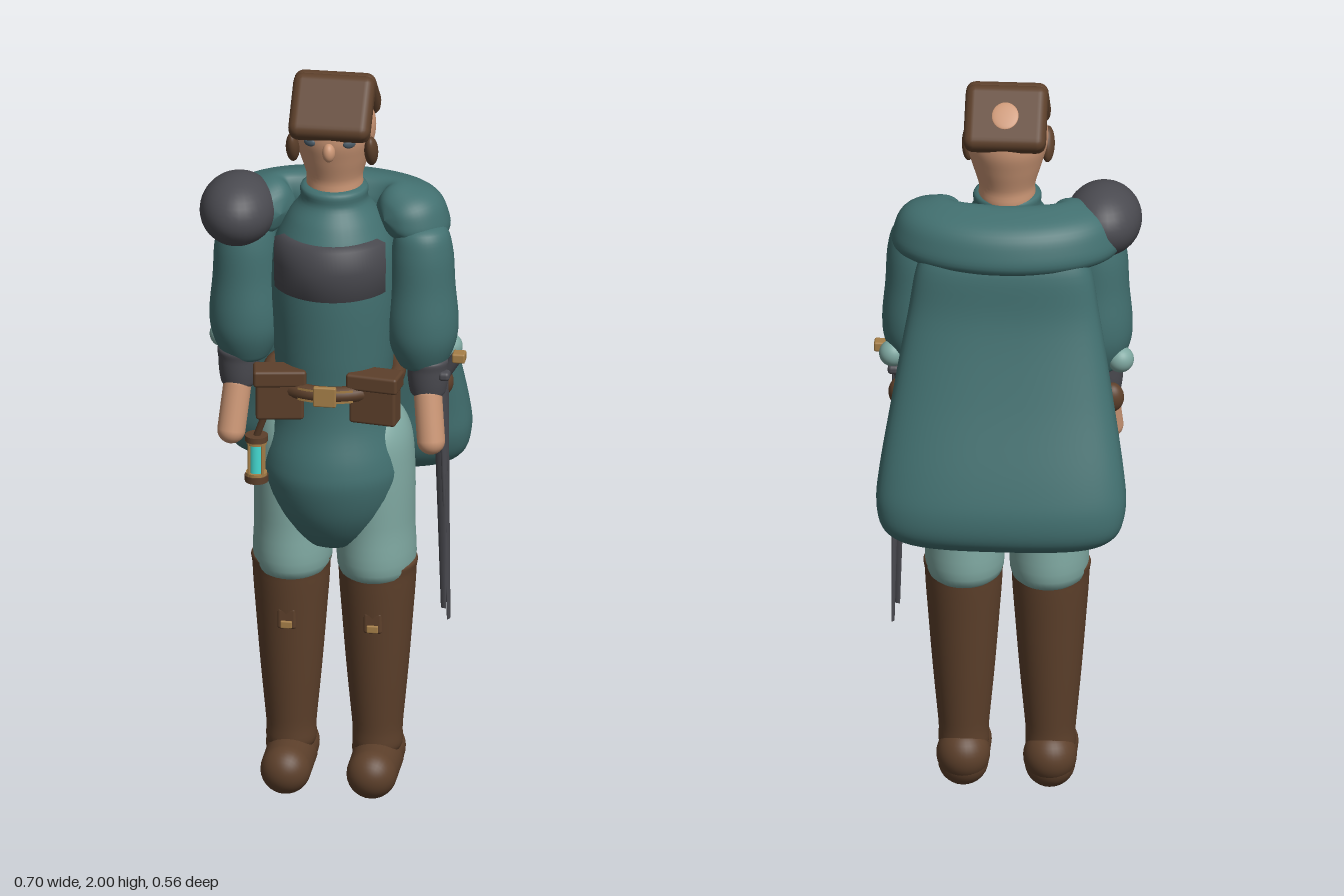
import * as THREE from 'three';
import { mergeVertices } from 'three/addons/utils/BufferGeometryUtils.js';
import { RoundedBoxGeometry } from 'three/addons/geometries/RoundedBoxGeometry.js';
import { ParametricGeometry } from 'three/addons/geometries/ParametricGeometry.js';

const paint = (name, color) => {
  const m = new THREE.MeshStandardMaterial({ color });
  m.name = name;
  return m;
};

export function createModel() {
  const model = new THREE.Group();
  model.name = 'cloakedTraveller';
  const teal = paint('teal cloth', 0x427070);
  const pale = paint('pale teal cloth', 0x7fa8a1);
  const brown = paint('brown leather', 0x5d402b);
  const skin = paint('skin', 0xcb9675);
  const iron = paint('dark iron', 0x4a4a50);
  const brass = paint('brass', 0xa67f48);
  const glow = paint('lantern glow', 0x45dcd4);
  const eyeBlue = paint('eye blue', 0x4b5c68);

  // Helpers
  const add = (name, geo, mat, x = 0, y = 0, z = 0) => {
    const m = new THREE.Mesh(geo, mat);
    m.name = name;
    m.position.set(x, y, z);
    model.add(m);
    return m;
  };
  const ball = (name, mat, x, y, z, rx, ry, rz) => {
    const m = add(name, new THREE.SphereGeometry(1, 32, 20), mat, x, y, z);
    m.scale.set(rx, ry, rz);
    return m;
  };
  // Smoothed profile of [radius, y] points turned around a vertical axis
  const turned = (name, mat, pts, x, z, sx = 1, sz = 1) => {
    const curve = new THREE.SplineCurve(pts.map(p => new THREE.Vector2(...p)));
    const line = curve.getPoints(pts.length * 5);
    line.forEach(p => { p.x = Math.max(p.x, 0); });
    const m = add(name, new THREE.LatheGeometry(line, 40), mat, x, 0, z);
    m.scale.set(sx, 1, sz);
    return m;
  };
  const box = (name, mat, x, y, z, w, h, d, r = 0.008) =>
    add(name, new RoundedBoxGeometry(w, h, d, 3, r), mat, x, y, z);
  // Round bar between two points
  const bar = (name, mat, a, b, r0, r1 = r0, capped = false) => {
    const p = new THREE.Vector3(...a), q = new THREE.Vector3(...b);
    const d = q.clone().sub(p), len = d.length();
    const geo = capped ? new THREE.CapsuleGeometry(r0, len, 8, 24) : new THREE.CylinderGeometry(r1, r0, len, 16);
    const m = add(name, geo, mat);
    m.position.copy(p).add(q).multiplyScalar(0.5);
    m.quaternion.setFromUnitVectors(new THREE.Vector3(0, 1, 0), d.normalize());
    return m;
  };
  const surface = (fn, nu, nv) => {
    let g = new ParametricGeometry(fn, nu, nv);
    g.deleteAttribute('uv');
    g.deleteAttribute('normal');
    g = mergeVertices(g, 1e-5);
    g.computeVertexNormals();
    return g;
  };

  // Tunic with its rounded skirt and collar
  turned('tunic', teal, [[0, 0.665], [0.09, 0.695], [0.155, 0.78], [0.188, 0.88], [0.186, 0.95], [0.16, 1.05],
    [0.152, 1.15], [0.158, 1.25], [0.165, 1.4], [0.158, 1.52], [0.125, 1.6], [0.09, 1.65], [0.082, 1.69], [0, 1.695]],
  0, 0.09);

  // Curved breast band
  const band = add('breastBand', new THREE.LatheGeometry(
    [[0.14, 1.42], [0.172, 1.425], [0.174, 1.5], [0.172, 1.565], [0.14, 1.57]].map(p => new THREE.Vector2(...p)),
    32, -1.1, 2.2), iron, 0, 0, 0.095);
  band.scale.x = 0.95;

  // Cape: rounded cross-sections [y, half width, half depth, centre z]
  const rings = [[0.787, 0.01, 0.005, -0.17], [0.792, 0.2, 0.04, -0.175], [0.83, 0.295, 0.095, -0.175],
    [0.9, 0.324, 0.118, -0.165], [1.0, 0.318, 0.112, -0.148], [1.2, 0.285, 0.095, -0.098],
    [1.4, 0.25, 0.08, -0.057], [1.55, 0.22, 0.072, -0.045], [1.62, 0.15, 0.03, -0.03], [1.63, 0.01, 0.005, -0.03]];
  const track = i => new THREE.SplineCurve(rings.map((r, k) => new THREE.Vector2(k, r[i])));
  const [capeY, capeW, capeD, capeZ] = [0, 1, 2, 3].map(track);
  const round = c => Math.sign(c) * Math.abs(c) ** 0.75;
  add('cape', surface((u, v, p) => {
    const a = u * Math.PI * 2;
    p.set(capeW.getPoint(v).y * round(Math.cos(a)), capeY.getPoint(v).y,
      capeZ.getPoint(v).y - capeD.getPoint(v).y * round(Math.sin(a)));
  }, 56, 54), teal);

  // Mantle: thick folded roll around the shoulders, open at the front
  add('mantle', surface((u, v, p) => {
    const t = (v * 2 - 1) * 2.42, f = u * Math.PI * 2;
    const end = Math.max(0.01, Math.sqrt(Math.max(0, 1 - Math.abs(v * 2 - 1) ** 9)));
    const fold = 1 + 0.035 * Math.cos(f * 5);
    const a = 0.1 * end * fold * Math.cos(f), b = 0.072 * end * fold * Math.sin(f);
    const out = a * Math.cos(0.5) + b * Math.sin(0.5);
    const up = b * Math.cos(0.5) - a * Math.sin(0.5);
    p.set((0.205 + out) * Math.sin(t), 1.605 + up, 0.05 - (0.095 + out) * Math.cos(t));
  }, 48, 80), teal);

  // Right shoulder guard
  ball('shoulderGuard', iron, -0.25, 1.61, 0.105, 0.1, 0.094, 0.128);

  // Arms and legs
  for (const s of [-1, 1]) {
    const side = s > 0 ? 'left' : 'right';
    turned(side + 'Sleeve', teal, [[0, 1.185], [0.05, 1.19], [0.07, 1.215], [0.09, 1.27], [0.094, 1.33], [0.086, 1.42],
      [0.08, 1.52], [0.06, 1.58], [0, 1.6]], s * 0.232, 0.095);
    ball(side + 'ElbowLining', pale, s * 0.297, 1.23, 0.055, 0.035, 0.035, 0.035);
    turned(side + 'Gauntlet', iron, [[0, 1.11], [0.04, 1.115], [0.05, 1.14], [0.054, 1.19], [0.052, 1.22], [0, 1.225]],
      s * 0.248, 0.105);
    bar(side + 'Hand', skin, [s * 0.25, 1.12, 0.12], [s * 0.262, 1.0, 0.148], 0.037, 0.037, true);
    turned(side + 'Thigh', pale, [[0, 0.6], [0.095, 0.605], [0.1, 0.75], [0.1, 0.9], [0.09, 1.0], [0.055, 1.065], [0, 1.085]],
      s * 0.11, 0.08, 1, 1.22);
    turned(side + 'Boot', brown, [[0, 0.07], [0.06, 0.1], [0.066, 0.17], [0.08, 0.32], [0.092, 0.47], [0.101, 0.6],
      [0.096, 0.642], [0, 0.648]], s * 0.113, 0.085, 1, 1.03);
    const foot = add(side + 'Foot', new THREE.CapsuleGeometry(0.066, 0.13, 10, 28), brown, s * 0.113, 0.066, 0.128);
    foot.rotation.x = Math.PI / 2;
    ball(side + 'Heel', brown, s * 0.113, 0.088, 0.06, 0.07, 0.072, 0.073);
    box(side + 'BootStrap', brown, s * 0.113, 0.485, 0.172, 0.05, 0.06, 0.02);
    box(side + 'BootBuckle', brass, s * 0.113, 0.47, 0.182, 0.03, 0.02, 0.012, 0.003);

    // Belt pouches with flaps
    const pouch = box(side + 'Pouch', brown, s * 0.125, 1.14, 0.22, 0.125, 0.125, 0.06);
    const flap = box(side + 'PouchFlap', brown, s * 0.125, 1.195, 0.222, 0.138, 0.045, 0.074);
    pouch.rotation.y = flap.rotation.y = -s * 0.15;
    ball(side + 'HipPouch', brown, s * 0.275, 1.125, 0.045, 0.032, 0.04, 0.028);

    // Face sides
    const flapEar = ball(side + 'EarFlap', brown, s * 0.103, 1.805, 0.133, 0.018, 0.048, 0.027);
    flapEar.rotation.x = 0.45;
    const eye = ball(side + 'Eye', eyeBlue, s * 0.052, 1.842, 0.181, 0.017, 0.012, 0.008);
    eye.rotation.y = s * 0.45;
  }

  // Belt and clasp
  const belt = add('belt', new THREE.TorusGeometry(0.165, 0.022, 12, 56), brown, 0, 1.16, 0.09);
  belt.rotation.x = Math.PI / 2;
  const clasp = add('claspBand', new THREE.CylinderGeometry(0.188, 0.188, 0.036, 24, 1, true, -0.4, 0.8), brass, 0, 1.16, 0.085);
  clasp.name = 'claspBand';
  box('claspPlate', brass, 0, 1.16, 0.27, 0.06, 0.055, 0.015, 0.004);

  // Head
  turned('head', skin, [[0, 1.65], [0.068, 1.67], [0.074, 1.72], [0.092, 1.78], [0.107, 1.84], [0.1, 1.89], [0.062, 1.93], [0, 1.945]],
    0, 0.08, 1, 1.08);
  ball('nose', skin, 0, 1.82, 0.195, 0.017, 0.026, 0.02);

  // Folded hat: two sloping slabs meeting in a ridge, with a crown opening
  const brim = box('hatFront', brown, 0, 1.921, 0.134, 0.215, 0.066, 0.18, 0.026);
  brim.rotation.x = 0.75;
  const back = box('hatBack', brown, 0, 1.921, 0.029, 0.215, 0.066, 0.18, 0.026);
  back.rotation.x = -0.75;
  const crown = ball('crownOpening', skin, 0, 1.943, 0.002, 0.035, 0.005, 0.038);
  crown.rotation.x = -0.75;

  // Lantern hanging from the right pouch
  const lx = -0.188, lz = 0.205;
  const ring = (name, mat, y, r, h) => add(name, new THREE.CylinderGeometry(r, r, h, 20), mat, lx, y, lz);
  ring('lanternGlass', glow, 0.95, 0.02, 0.1);
  ring('lanternBase', brown, 0.893, 0.031, 0.018);
  ring('lanternBaseRim', brass, 0.905, 0.028, 0.01);
  ring('lanternCap', brown, 1.006, 0.03, 0.016);
  ring('lanternCapRim', brass, 0.995, 0.027, 0.01);
  for (let i = 0; i < 4; i++) {
    const a = Math.PI / 4 + i * Math.PI / 2, x = lx + 0.025 * Math.cos(a), z = lz + 0.025 * Math.sin(a);
    bar('lanternPost', brass, [x, 0.9, z], [x, 1.0, z], 0.004);
  }
  bar('lanternStrap', brown, [lx, 1.01, lz], [-0.16, 1.09, 0.22], 0.009);

  // Paired slim blades at the left hip
  for (const [x, z, tip, tz] of [[0.288, 0.105, 0.46, 0.06], [0.278, 0.09, 0.5, 0.085]]) {
    const blade = bar('blade', iron, [x, 1.18, z], [x + 0.008, tip, tz], 0.024, 0.008);
    blade.scale.x = 0.4;
  }
  box('bladeGuard', iron, 0.295, 1.18, 0.1, 0.03, 0.025, 0.1, 0.01);
  bar('bladeGrip', iron, [0.29, 1.17, 0.105], [0.325, 1.225, 0.112], 0.016);
  box('bladePommel', brass, 0.331, 1.226, 0.112, 0.034, 0.026, 0.036, 0.005);

  return model;
}
